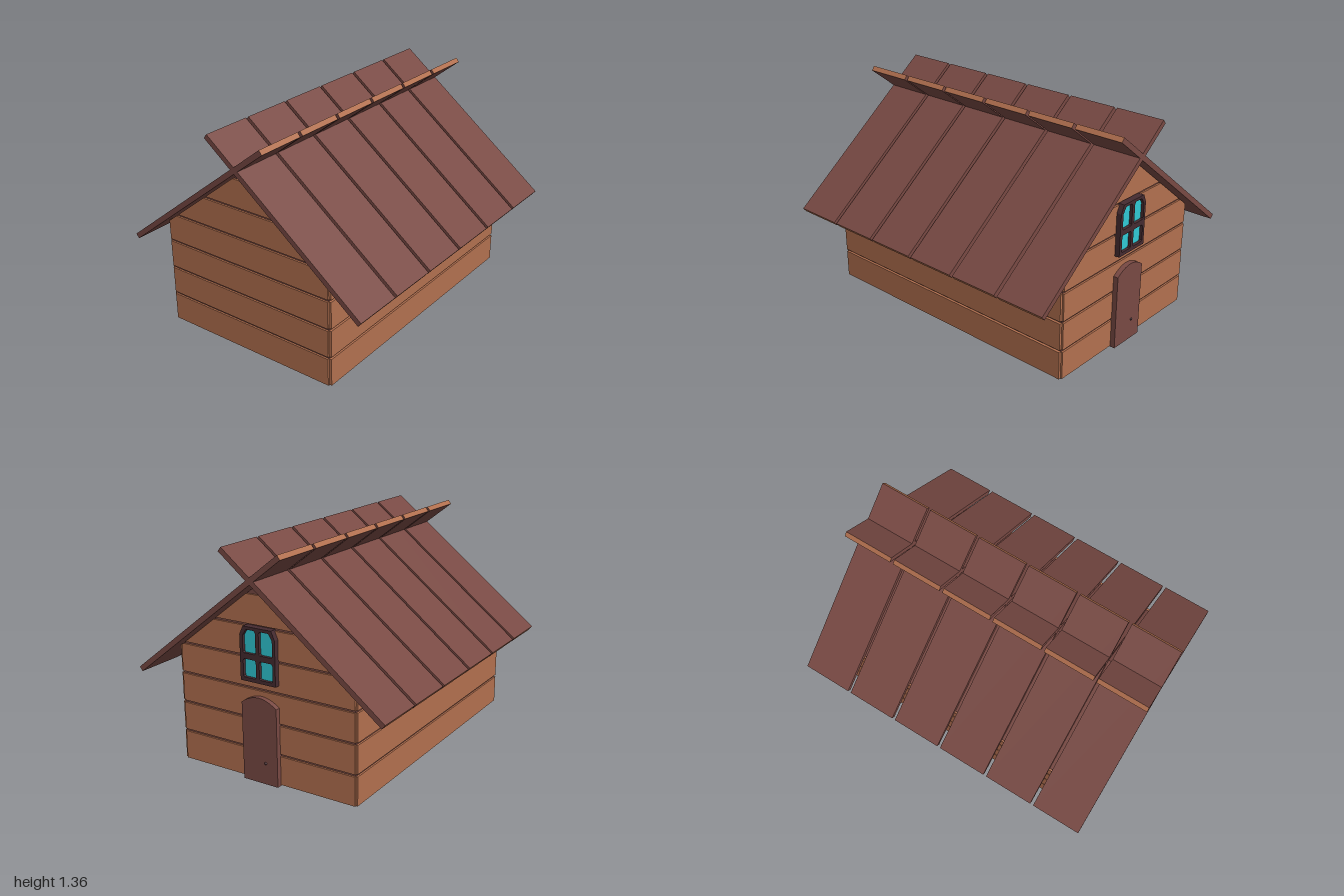
import * as THREE from 'three';

const SLOPE = Math.tan(THREE.MathUtils.degToRad(38));
const APEX = 1.166, FRONT = 0.567, BACK = -0.617, HALF = 0.915;

const material = (name, color) => {
  const m = new THREE.MeshStandardMaterial({ color });
  m.name = name;
  return m;
};

export function createModel() {
  const house = new THREE.Group();
  house.name = 'cabin';
  const wood = material('light wood', 0xb2704f);
  const brown = material('dark brown wood', 0x784943);
  const frameMat = material('window frame', 0x452b30);
  const glass = material('glass', 0x30c8d4);

  const add = (name, geometry, mat, x = 0, y = 0, z = 0) => {
    const mesh = new THREE.Mesh(geometry, mat);
    mesh.name = name;
    mesh.position.set(x, y, z);
    house.add(mesh);
    return mesh;
  };

  // Outline drawn in (-z, y), extruded along x from x0 to x1
  const slab = (name, shape, x0, x1, mat) => {
    const g = new THREE.ExtrudeGeometry(shape, { depth: x1 - x0, bevelEnabled: false, curveSegments: 10 });
    g.rotateY(Math.PI / 2);
    return add(name, g, mat, x0);
  };
  const outline = (pts, Type = THREE.Shape) => new Type(pts.map(([u, y]) => new THREE.Vector2(u, y)));

  // Slice of the gable outline between two heights
  const gable = (y0, y1) => {
    const roofZ = (y) => (APEX - y) / SLOPE;
    const side = (limit) => {
      const eave = APEX - limit * SLOPE;
      const heights = eave > y0 + 0.001 && eave < y1 - 0.001 ? [y0, eave, y1] : [y0, y1];
      return heights.map((y) => [Math.min(limit, roofZ(y)), y]);
    };
    const right = side(-BACK);
    const left = side(FRONT).map(([z, y]) => [-z, y]).reverse();
    if (y1 >= APEX) left.shift();
    return outline([...right, ...left]);
  };

  // Dark core showing in the grooves, at the peak and on the floor
  slab('core', gable(0, APEX), -HALF, HALF, brown);

  // Horizontal wall boards
  for (let i = 0; i < 6; i++) {
    const y0 = i * 0.184 + (i ? 0.01 : 0.005);
    const y1 = (i + 1) * 0.184 - 0.004;
    slab('leftGableBoard', gable(y0, y1), HALF, 0.926, wood);
    slab('rightGableBoard', gable(y0, y1), -0.926, -HALF, wood);
    for (const [name, inner, outer] of [['frontBoard', FRONT, 0.583], ['backBoard', BACK, -0.628]]) {
      const top = Math.min(y1, APEX - Math.abs(outer) * SLOPE + 0.006);
      if (top <= y0) continue;
      add(name, new THREE.BoxGeometry(HALF * 2, top - y0, Math.abs(outer - inner)), wood,
        0, (y0 + top) / 2, (inner + outer) / 2);
    }
  }

  // Crossing roof planks with light end grain
  const plank = new THREE.BoxGeometry(0.316, 0.032, 1.303);
  const plankMats = [brown, brown, brown, brown, wood, wood];
  for (const s of [1, -1]) {
    for (let i = 0; i < 6; i++) {
      const p = add(s > 0 ? 'frontRoofPlank' : 'backRoofPlank', plank, plankMats,
        -0.842 + i * 0.3368, 0.946, s * 0.3175);
      p.rotation.x = s * Math.atan(SLOPE);
    }
  }

  // Arched door and knob
  const door = new THREE.Shape();
  door.moveTo(-0.113, 0);
  door.lineTo(0.126, 0);
  door.lineTo(0.126, 0.473);
  door.quadraticCurveTo(0.0065, 0.563, -0.113, 0.473);
  slab('door', door, HALF, 0.957, brown);
  add('doorKnob', new THREE.SphereGeometry(0.008, 12, 8), frameMat, 0.957, 0.13, -0.045);

  // Window frame with four openings
  const frame = outline([[-0.113, 0.604], [0.126, 0.604], [0.126, 0.872], [0.104, 0.923], [-0.088, 0.923], [-0.113, 0.872]]);
  const pane = (u0, u1, y0, y1, cl, cr) => {
    const c = 0.007;
    frame.holes.push(outline([
      [u0 + c, y0], [u0, y0 + c], [u0, y1 - cl * 1.6], [u0 + cl, y1],
      [u1 - cr, y1], [u1, y1 - cr * 1.6], [u1, y0 + c], [u1 - c, y0],
    ], THREE.Path));
  };
  pane(-0.092, -0.005, 0.626, 0.734, 0.007, 0.007);
  pane(0.018, 0.108, 0.626, 0.734, 0.007, 0.007);
  pane(-0.092, -0.005, 0.768, 0.905, 0.024, 0.008);
  pane(0.018, 0.108, 0.768, 0.905, 0.008, 0.024);
  slab('windowFrame', frame, HALF, 0.957, frameMat);
  slab('windowGlass', outline([[-0.1, 0.615], [0.115, 0.615], [0.115, 0.87], [0.098, 0.914], [-0.083, 0.914], [-0.1, 0.87]]),
    0.93, 0.938, glass);

  return house;
}
